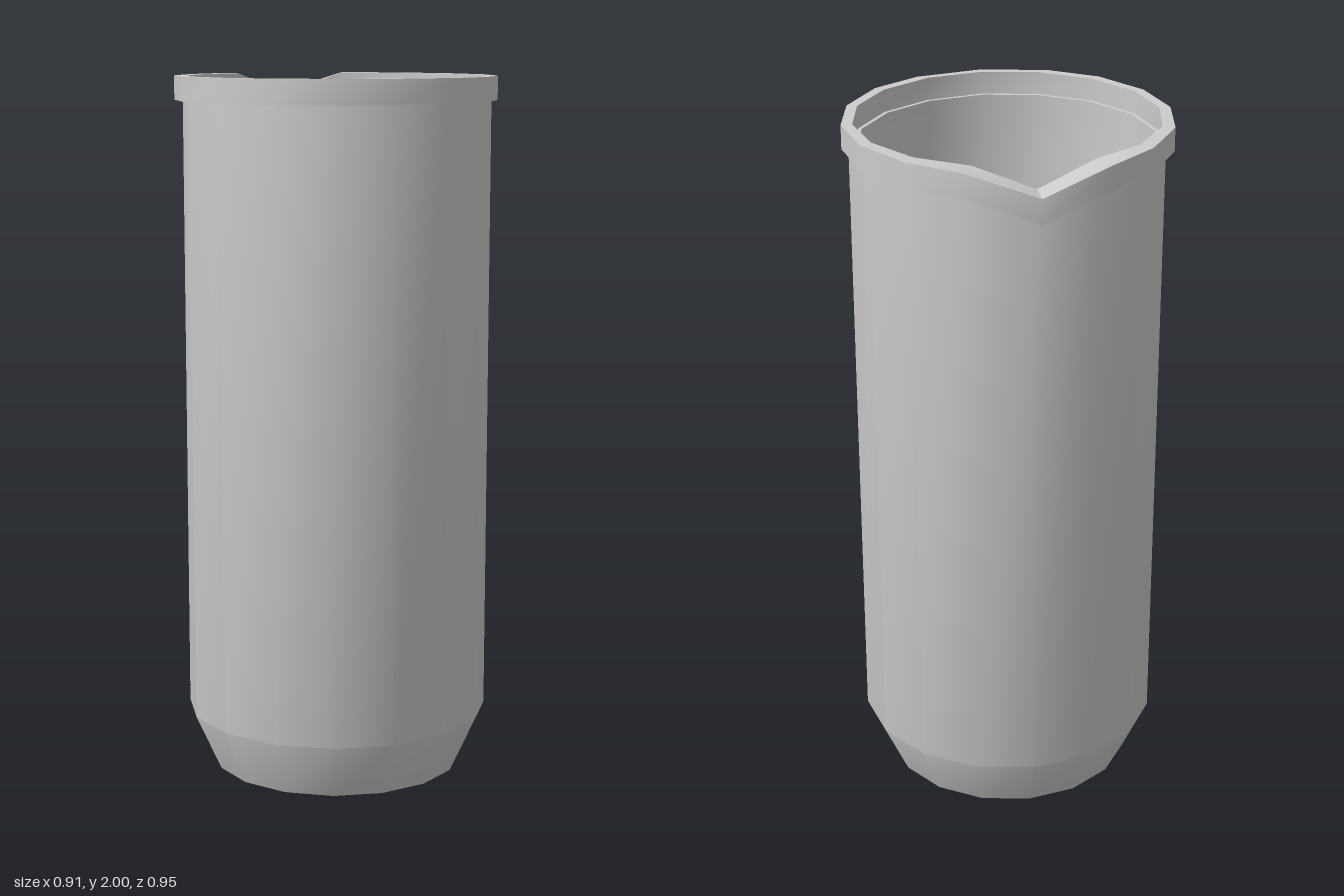
import * as THREE from 'three';
import { toCreasedNormals } from 'three/addons/utils/BufferGeometryUtils.js';

const SIDES = 16;
const CENTRE_Z = 0.024;

// Regular ring starting at the back (-z); the first point is the spout.
function ring(radius, y, spoutY = y) {
  return Array.from({ length: SIDES }, (_, k) => {
    const a = (k / SIDES) * Math.PI * 2;
    return new THREE.Vector3(radius * Math.sin(a), k === 0 ? spoutY : y, CENTRE_Z - radius * Math.cos(a));
  });
}

// Outer edge of the rim, back to front on the left side, mirrored to the right.
const RIM_HALF = [
  [0, -0.475], [0.19, -0.43], [0.327, -0.31], [0.424, -0.155], [0.455, 0.024],
  [0.42, 0.195], [0.323, 0.343], [0.191, 0.432], [0, 0.472],
];
function rimRing(y, spoutY) {
  return Array.from({ length: SIDES }, (_, k) => {
    const [x, z] = RIM_HALF[k <= 8 ? k : SIDES - k];
    return new THREE.Vector3(k <= 8 ? x : -x, k === 0 ? spoutY : y, z);
  });
}

// Skin a sequence of rings, running up the outside and down the inside.
function loft(rings) {
  const pos = [];
  const tri = (a, b, c) => {
    if (a.distanceTo(b) < 1e-6 || b.distanceTo(c) < 1e-6 || c.distanceTo(a) < 1e-6) return;
    for (const p of [a, b, c]) pos.push(p.x, p.y, p.z);
  };
  for (let i = 0; i < rings.length - 1; i++) {
    const A = rings[i], B = rings[i + 1];
    for (let k = 0; k < SIDES; k++) {
      const n = (k + 1) % SIDES;
      tri(A[n], A[k], B[k]);
      tri(A[n], B[k], B[n]);
    }
  }
  const geo = new THREE.BufferGeometry();
  geo.setAttribute('position', new THREE.Float32BufferAttribute(pos, 3));
  return toCreasedNormals(geo, 0.55);
}

export function createModel() {
  const group = new THREE.Group();
  group.name = 'beaker';
  const grey = new THREE.MeshStandardMaterial({ color: 0xcccccc });
  grey.name = 'grey';

  // Hollow body with a tapered foot; its lip dips at the spout
  const body = new THREE.Mesh(loft([
    ring(0, 0), ring(0.361, 0), ring(0.436, 0.165), ring(0.436, 1.935, 1.87),
    ring(0.413, 1.935, 1.87), ring(0.413, 0.17), ring(0.361, 0.02), ring(0, 0.02),
  ]), grey);
  body.name = 'body';

  // Raised rim around the lip, drawn out and down into a pouring spout
  const inner = 0.424;
  const rim = new THREE.Mesh(loft([
    ring(inner, 1.932, 1.868), rimRing(1.932, 1.868), rimRing(2, 1.938),
    ring(inner, 2, 1.938), ring(inner, 1.932, 1.868),
  ]), grey);
  rim.name = 'rim';

  group.add(body, rim);
  return group;
}
